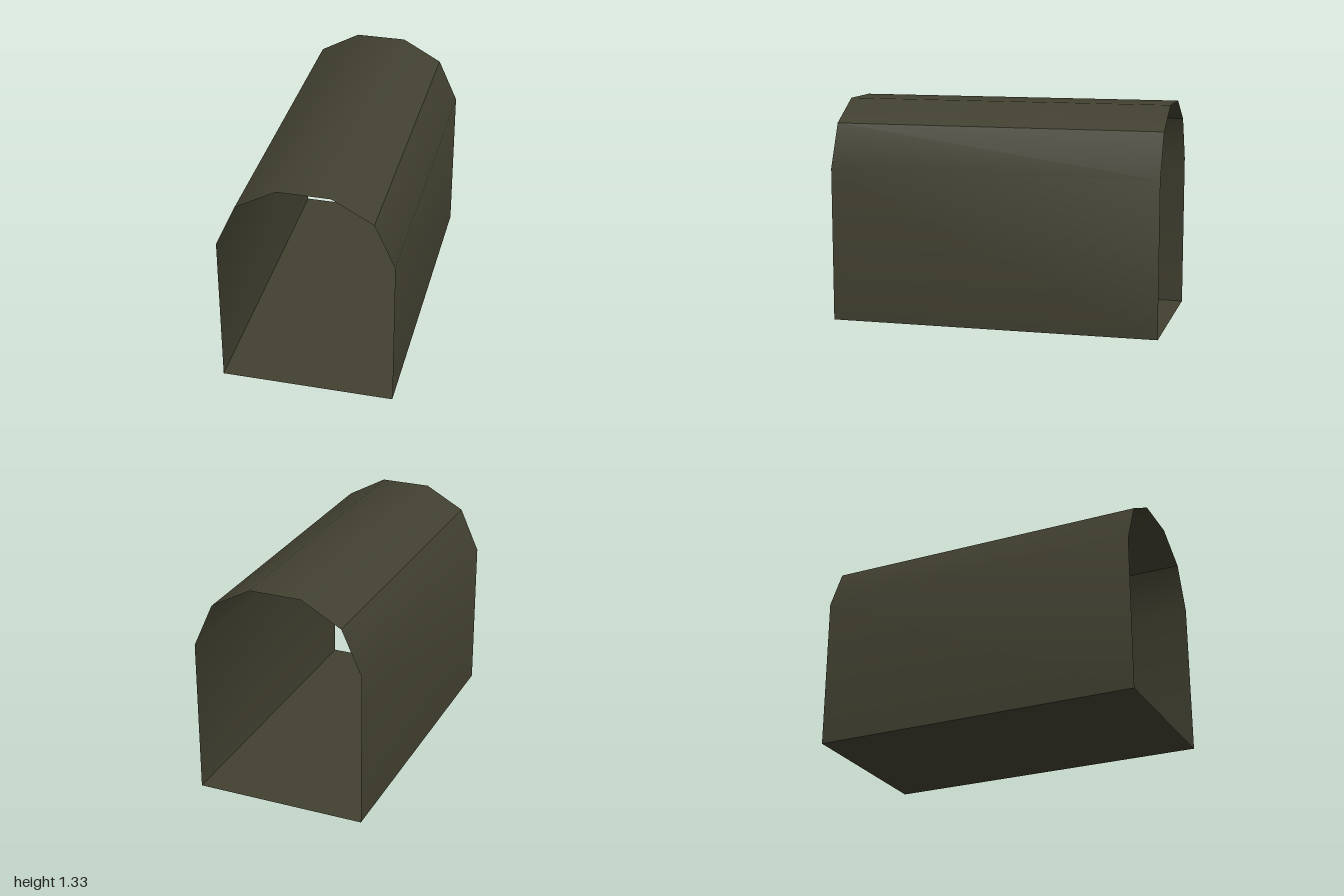
import * as THREE from 'three';
import { toCreasedNormals } from 'three/addons/utils/BufferGeometryUtils.js';

const HALF_LENGTH = 1;

// Sweeps a row of [x, y] points along z as a thin open sheet.
function sheet(points, material, name) {
  const position = [];
  const index = [];
  for (const [x, y] of points) position.push(x, y, HALF_LENGTH, x, y, -HALF_LENGTH);
  for (let i = 0; i < points.length - 1; i++) {
    const a = i * 2;
    index.push(a, a + 2, a + 3, a, a + 3, a + 1);
  }
  const geometry = new THREE.BufferGeometry();
  geometry.setAttribute('position', new THREE.Float32BufferAttribute(position, 3));
  geometry.setIndex(index);
  // Gentle bends are smooth, the shoulder edges stay sharp.
  const mesh = new THREE.Mesh(toCreasedNormals(geometry, Math.PI / 6), material);
  mesh.name = name;
  return mesh;
}

export function createModel() {
  const olive = new THREE.MeshStandardMaterial({ color: 0x414030, side: THREE.DoubleSide });
  olive.name = 'dark olive';

  // Half of the arch section, from the foot to the crown, mirrored across x.
  const half = [[0.515, 0], [0.515, 0.935], [0.395, 1.2], [0.155, 1.333]];
  const arch = [...half.map(([x, y]) => [-x, y]), ...half.slice().reverse()];

  const model = new THREE.Group();
  model.name = 'tunnel';
  model.add(sheet(arch, olive, 'wallsAndVault'));
  model.add(sheet([half[0], [-half[0][0], 0]], olive, 'floor'));
  return model;
}
